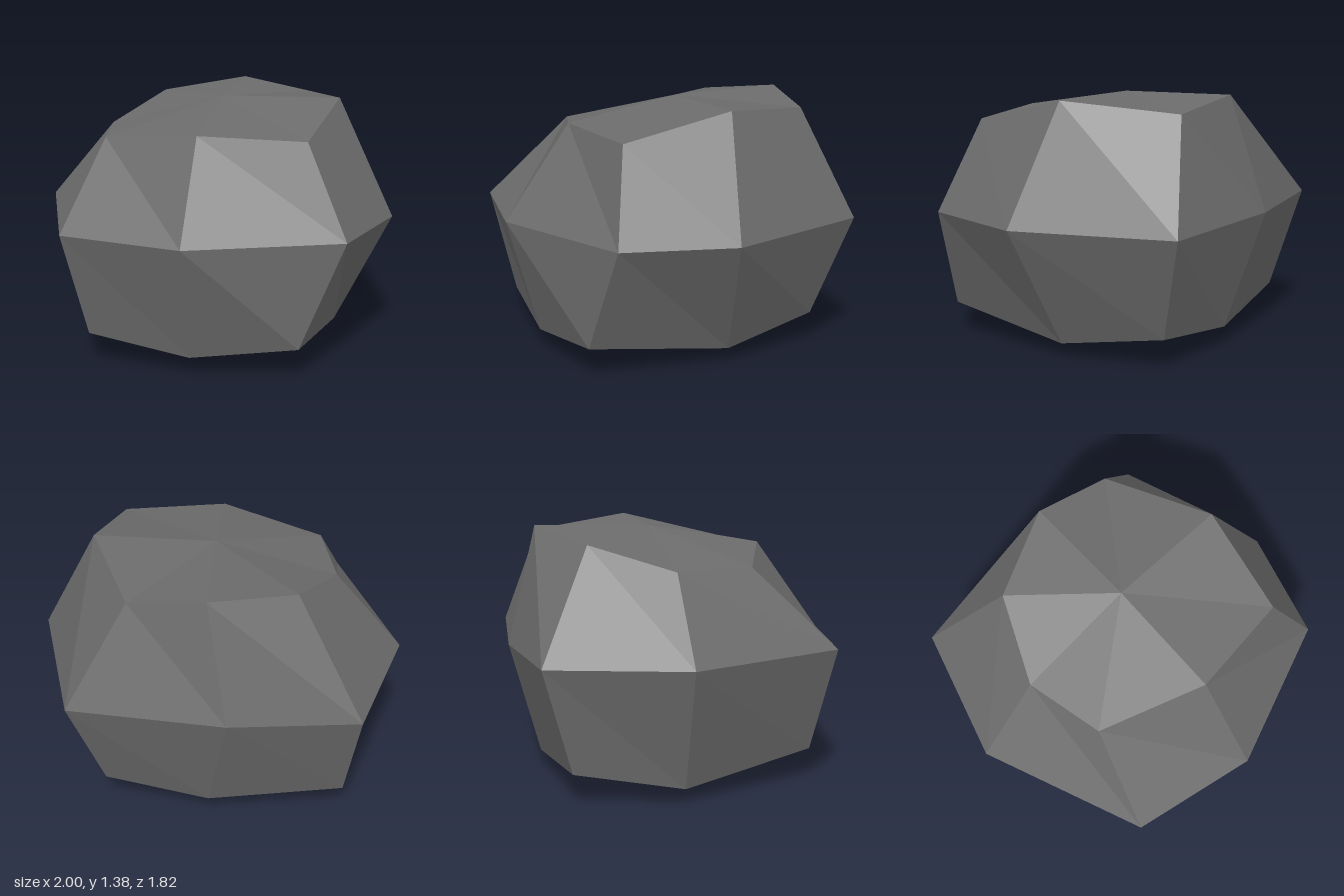
import * as THREE from 'three';

// Rings run from the front middle round by +x, eight points each.
const topRing = [
  [0.02, 1.25, 0.54], [0.59, 1.23, 0.47], [0.68, 1.37, -0.1], [0.43, 1.31, -0.67],
  [0.02, 1.375, -0.74], [-0.43, 1.31, -0.53], [-0.63, 1.18, -0.1], [-0.54, 1.18, 0.33],
];
const middleRing = [
  [0.02, 0.74, 0.91], [0.82, 0.74, 0.6], [1, 0.74, 0.01], [0.75, 0.74, -0.83],
  [-0.09, 0.74, -0.91], [-0.78, 0.74, -0.83], [-1, 0.74, -0.1], [-0.66, 0.74, 0.78],
];
const bottomRing = [
  [0.02, 0.1, 0.73], [0.59, 0.17, 0.67], [0.68, 0.08, -0.1], [0.59, 0.17, -0.67],
  [0.02, 0.1, -0.73], [-0.71, 0.17, -0.67], [-0.81, 0.08, -0.1], [-0.55, 0.17, 0.67],
];
const topCentre = [0.02, 1.36, -0.1];
const bottomCentre = [0.02, 0, -0.1];

export function createModel() {
  const positions = [];
  const tri = (a, b, c) => positions.push(...a, ...b, ...c);

  // Band of facets between two rings
  const band = (low, high) => {
    for (let i = 0; i < 8; i++) {
      const j = (i + 1) % 8;
      tri(low[i], low[j], high[i]);
      tri(low[j], high[j], high[i]);
    }
  };
  band(bottomRing, middleRing);
  band(middleRing, topRing);

  // Top and underside
  for (let i = 0; i < 8; i++) {
    const j = (i + 1) % 8;
    tri(topCentre, topRing[i], topRing[j]);
    tri(bottomCentre, bottomRing[j], bottomRing[i]);
  }

  const geometry = new THREE.BufferGeometry();
  geometry.setAttribute('position', new THREE.Float32BufferAttribute(positions, 3));
  geometry.computeVertexNormals(); // unshared corners give flat facets

  const stone = new THREE.MeshStandardMaterial({ color: 0x6b6b6b });
  stone.name = 'stone grey';
  stone.flatShading = true;

  const rock = new THREE.Mesh(geometry, stone);
  rock.name = 'rock';
  const group = new THREE.Group();
  group.name = 'boulder';
  group.add(rock);
  return group;
}
